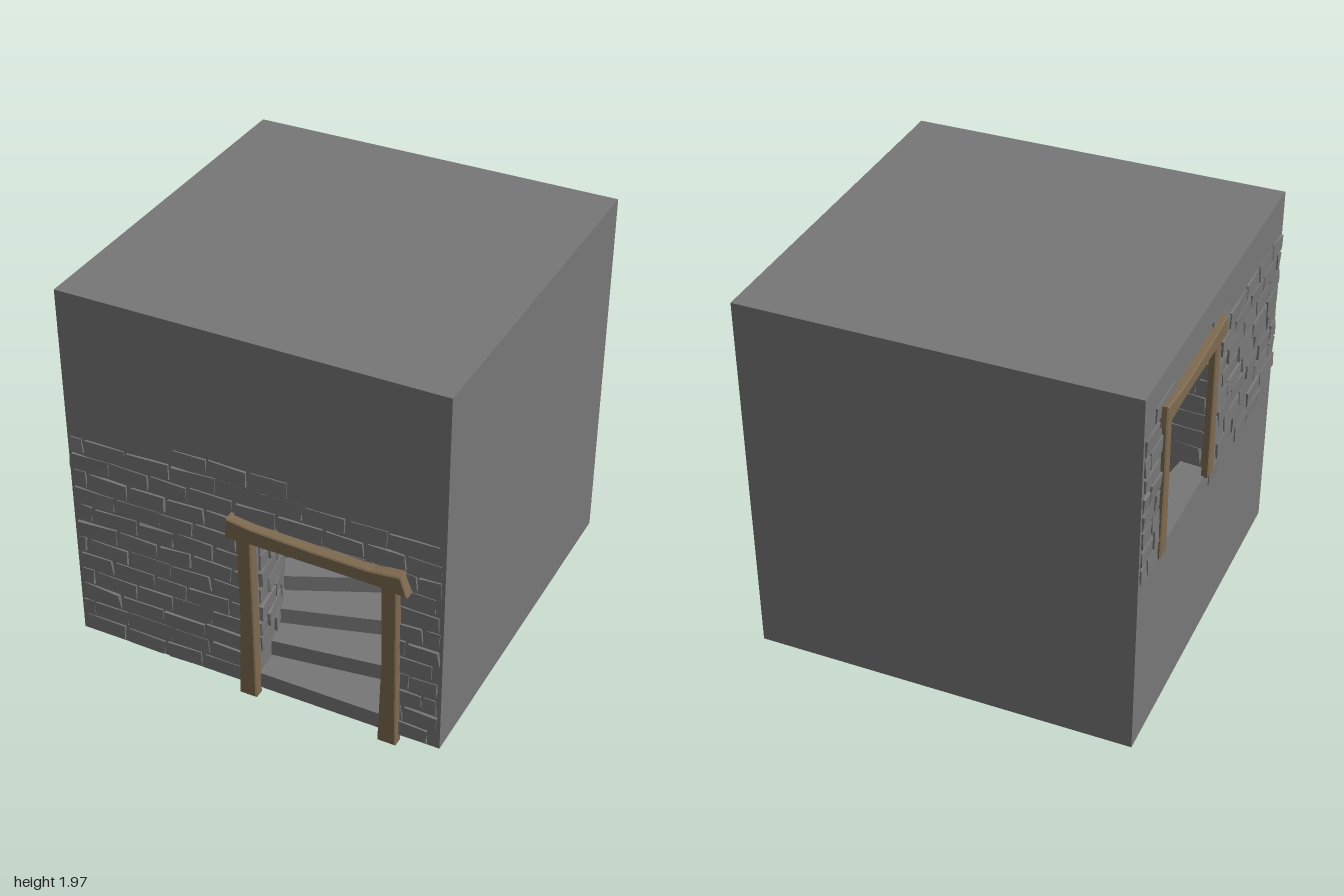
import * as THREE from 'three';
import { mergeGeometries } from 'three/addons/utils/BufferGeometryUtils.js';

// Block bounds, and the quarter-turn corridor around the front left corner
const X0 = -0.95, X1 = 0.985, Y0 = 0.03, Y1 = 1.97, Z0 = -1, Z1 = 0.93;
const RI = 0.99, RO = 1.68, QUARTER = Math.PI / 2;
const STEPS = 11, RISE = 0.0873, TURN = QUARTER / STEPS;
const LANDING = Y0 + STEPS * RISE, DOOR_TOP = 0.95, EXIT_TOP = 1.75;
const ROW = 0.0975;

export function createModel() {
  const stone = new THREE.MeshStandardMaterial({ color: 0x777777, side: THREE.DoubleSide });
  stone.name = 'stone grey';
  const wood = new THREE.MeshStandardMaterial({ color: 0x7d6a50 });
  wood.name = 'wood brown';

  let seed = 7;
  const rand = (a = 0, b = 1) => {
    seed = (seed * 16807) % 2147483647;
    return a + (b - a) * (seed / 2147483647);
  };

  const model = new THREE.Group();
  model.name = 'stairwellBlock';
  const add = (name, geo, mat, parent = model) => {
    const mesh = new THREE.Mesh(geo, mat);
    mesh.name = name;
    parent.add(mesh);
    return mesh;
  };
  const polygon = pts => new THREE.Shape(pts.map(p => new THREE.Vector2(...p)));

  // Plain outer faces
  const W = X1 - X0, H = Y1 - Y0, D = Z1 - Z0;
  const cx = (X0 + X1) / 2, cy = (Y0 + Y1) / 2, cz = (Z0 + Z1) / 2;
  add('backWall', new THREE.PlaneGeometry(W, H).rotateY(Math.PI).translate(cx, cy, Z0), stone);
  add('rightWall', new THREE.PlaneGeometry(D, H).rotateY(QUARTER).translate(X1, cy, cz), stone);
  add('roof', new THREE.PlaneGeometry(W, D).rotateX(-QUARTER).translate(cx, Y1, cz), stone);

  // Walls notched for the lower door and the upper exit
  const notchedWall = (u0, u1, d0, d1, top) => new THREE.ShapeGeometry(polygon([
    [u0, Y0], [d0, Y0], [d0, top], [d1, top], [d1, Y0], [u1, Y0], [u1, Y1], [u0, Y1]]));
  add('frontWall', notchedWall(X0, X1, X0 + RI, X0 + RO, DOOR_TOP).translate(0, 0, Z1), stone);
  add('leftWall', notchedWall(Z0, Z1, Z1 - RO, Z1 - RI, EXIT_TOP)
    .rotateY(-QUARTER).translate(X0, 0, 0), stone);
  add('landingFace', new THREE.PlaneGeometry(RO - RI, LANDING - Y0).rotateY(-QUARTER)
    .translate(X0, (LANDING + Y0) / 2, Z1 - (RI + RO) / 2), stone);

  // Underside on both sides of the open corridor
  const core = new THREE.Shape();
  core.moveTo(X0, -Z1).lineTo(X0 + RI, -Z1).absarc(X0, -Z1, RI, 0, QUARTER, false);
  const rim = new THREE.Shape();
  rim.moveTo(X0 + RO, -Z1).lineTo(X1, -Z1).lineTo(X1, -Z0).lineTo(X0, -Z0)
    .lineTo(X0, RO - Z1).absarc(X0, -Z1, RO, QUARTER, 0, true);
  for (const [name, shape] of [['coreBottom', core], ['rimBottom', rim]]) {
    add(name, new THREE.ShapeGeometry(shape, 32).rotateX(-QUARTER).translate(0, Y0, 0), stone);
  }

  // Curved corridor walls
  for (const [name, r] of [['innerCurvedWall', RI], ['outerCurvedWall', RO]]) {
    add(name, new THREE.CylinderGeometry(r, r, EXIT_TOP - Y0, 32, 1, true, QUARTER, QUARTER)
      .translate(X0, (EXIT_TOP + Y0) / 2, Z1), stone);
  }

  // Ceiling climbing with the stairs
  const ceilingAt = a => DOOR_TOP + (EXIT_TOP - DOOR_TOP) * a / QUARTER;
  const ceiling = new THREE.RingGeometry(RI, RO, 32, 1, 0, QUARTER).rotateX(-QUARTER);
  const cp = ceiling.attributes.position;
  for (let i = 0; i < cp.count; i++) cp.setY(i, ceilingAt(Math.atan2(-cp.getZ(i), cp.getX(i))));
  ceiling.computeVertexNormals();
  add('ceiling', ceiling.translate(X0, 0, Z1), stone);

  // Winding stairs, open underneath
  const stairs = new THREE.Group();
  stairs.name = 'stairs';
  model.add(stairs);
  for (let k = 0; k < STEPS; k++) {
    const y = Y0 + k * RISE;
    add('riser', new THREE.PlaneGeometry(RO - RI, RISE).translate((RI + RO) / 2, y + RISE / 2, 0)
      .rotateY(k * TURN).translate(X0, 0, Z1), stone, stairs);
    add('tread', new THREE.RingGeometry(RI, RO, 4, 1, k * TURN, TURN).rotateX(-QUARTER)
      .translate(X0, y + RISE, Z1), stone, stairs);
  }

  // One rough brick: a box whose eight corners are shifted
  const brick = (w, h) => {
    const geo = new THREE.BoxGeometry(w, h, 0.02);
    const corners = Array.from({ length: 8 }, () =>
      [rand(-0.008, 0.008), rand(-0.007, 0.007), rand(-0.007, 0.004)]);
    const p = geo.attributes.position;
    for (let i = 0; i < p.count; i++) {
      const c = corners[(p.getX(i) > 0 ? 1 : 0) + (p.getY(i) > 0 ? 2 : 0) + (p.getZ(i) > 0 ? 4 : 0)];
      p.setXYZ(i, p.getX(i) + c[0], p.getY(i) + c[1], p.getZ(i) + c[2]);
    }
    geo.computeVertexNormals();
    return geo;
  };
  // Bricks along the spans of each row; place(geo, u, v) returns nothing to skip one
  const brickwork = (name, base, rows, spans, place) => {
    const list = [];
    for (let r = 0; r < rows; r++) {
      const v = base + (r + 0.5) * ROW;
      for (const [a, b] of spans(v, r)) {
        let u = a - (r % 2 ? 0.11 : 0) - rand(0, 0.04);
        while (u < b - 0.03) {
          const next = u + rand(0.18, 0.25);
          const s = Math.max(u, a), e = Math.min(next, b);
          u = next;
          if (e - s < 0.05) continue;
          const geo = place(brick(e - s - 0.02, ROW - 0.016), (s + e) / 2, v, r);
          if (geo) list.push(geo);
        }
      }
    }
    add(name, mergeGeometries(list), stone);
  };

  brickwork('frontBricks', Y0, 13,
    (v, r) => r === 12 ? [[-0.38, 0.26]]
      : v < DOOR_TOP ? [[X0 + 0.01, X0 + RI], [X0 + RO, X1 - 0.01]] : [[X0 + 0.01, X1 - 0.01]],
    (geo, u, v) => geo.translate(u, v, Z1));
  brickwork('leftBricks', 0.88, 10,
    v => v < EXIT_TOP ? [[Z0 + 0.01, Z1 - RO], [Z1 - RI, Z1 - 0.01]] : [[Z0 + 0.01, Z1 - 0.01]],
    (geo, u, v, r) => (r % 9 === 0 && rand() < 0.35) ? null
      : geo.rotateY(-QUARTER).translate(X0, v, u));

  // Corridor bricks, only between the treads and the ceiling
  for (const [name, r, face] of [['innerBricks', RI, 1], ['outerBricks', RO, -1]]) {
    brickwork(name, Y0, 18, () => [[0.01, r * QUARTER - 0.01]], (geo, u, v) => {
      const a = u / r, floor = Y0 + (Math.floor(a / TURN) + 1) * RISE;
      if (v < floor - 0.02 || v > ceilingAt(a) + 0.03) return null;
      return geo.rotateY(a + face * QUARTER)
        .translate(X0 + r * Math.cos(a), v, Z1 - r * Math.sin(a));
    });
  }

  // Timber frames: crooked outlines extruded outward with a small bevel
  const beam = (name, pts, z0, z1, parent) => {
    const bevel = 0.006;
    add(name, new THREE.ExtrudeGeometry(polygon(pts), {
      depth: z1 - z0 - 2 * bevel, bevelThickness: bevel, bevelSize: bevel,
      bevelOffset: -bevel, bevelSegments: 1,
    }).translate(0, 0, z0 + bevel), wood, parent);
  };
  const post = (x, y0, y1, w, lean) => {
    const m = (y0 + y1) / 2;
    return [[x - w, y0], [x + w, y0], [x + w * 0.85 + lean, m], [x + w * 0.8, y1],
      [x - w * 0.8, y1], [x - w * 0.75 + lean, m]];
  };

  const doorFrame = new THREE.Group();
  doorFrame.name = 'doorFrame';
  beam('doorPostRight', post(0.003, 0, 0.93, 0.045, 0.003), 0.92, 0.98, doorFrame);
  beam('doorPostLeft', post(0.735, 0, 0.93, 0.047, 0.003), 0.92, 0.98, doorFrame);
  beam('doorLintel', [[-0.09, 0.92], [0.05, 0.928], [0.4, 0.925], [0.68, 0.92], [0.83, 0.905],
    [0.795, 1.01], [0.65, 0.995], [0.35, 1.0], [0.05, 1.015], [-0.08, 1.035]], 0.925, 0.99, doorFrame);

  const exitFrame = new THREE.Group();
  exitFrame.name = 'exitFrame';
  exitFrame.rotation.y = -QUARTER;
  beam('exitPostBack', post(-0.74, 0.985, 1.74, 0.04, 0.003), 0.935, 0.972, exitFrame);
  beam('exitPostFront', post(-0.085, 0.985, 1.74, 0.04, -0.003), 0.935, 0.972, exitFrame);
  beam('exitLintel', [[-0.82, 1.72], [-0.6, 1.735], [-0.25, 1.735], [-0.02, 1.725],
    [-0.03, 1.83], [-0.25, 1.81], [-0.6, 1.805], [-0.81, 1.825]], 0.937, 0.988, exitFrame);
  model.add(doorFrame, exitFrame);

  return model;
}
